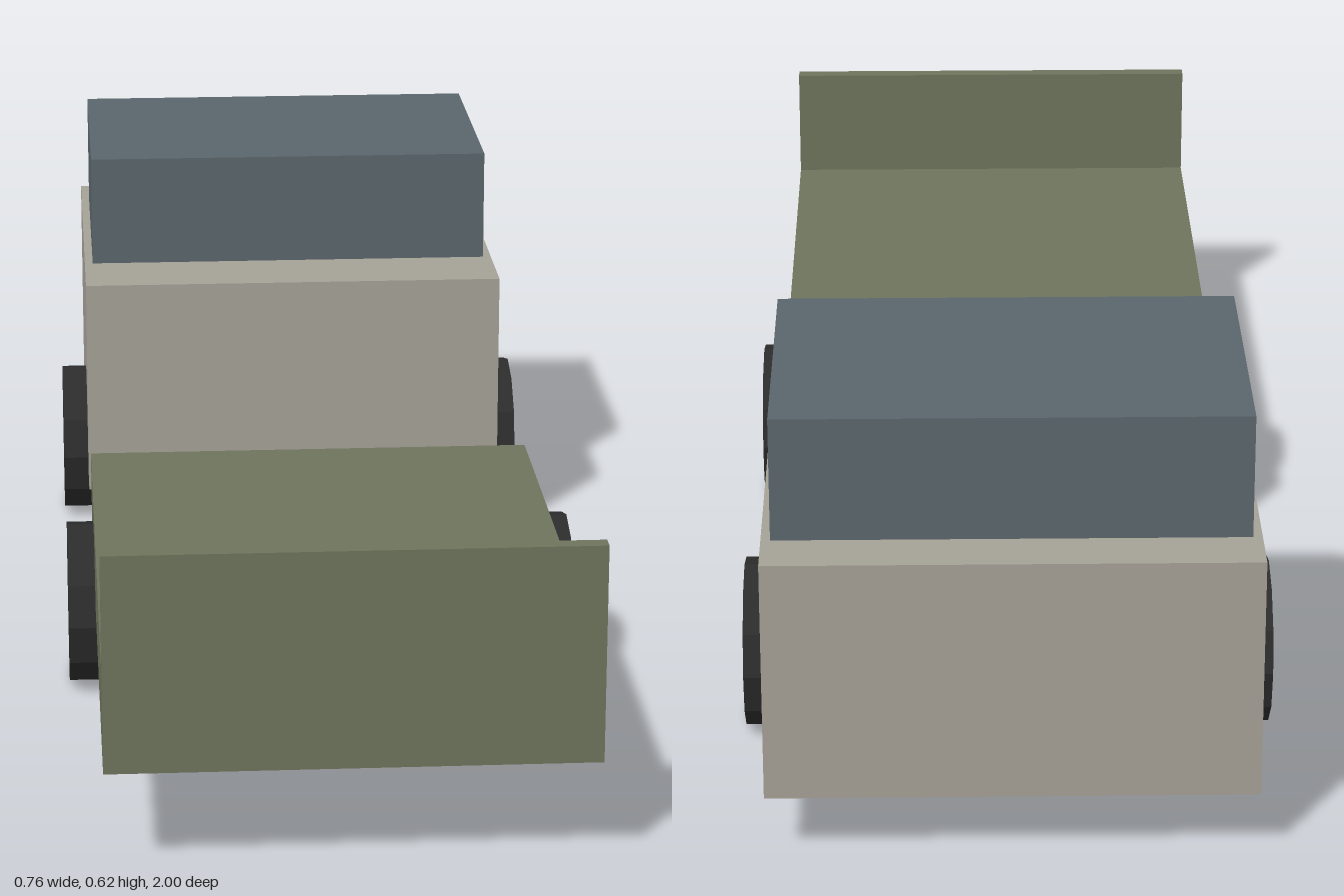
import * as THREE from 'three';

const material = (name, color) => {
  const m = new THREE.MeshStandardMaterial({ color });
  m.name = name;
  return m;
};

export function createModel() {
  const model = new THREE.Group();
  model.name = 'truck';
  const green = material('olive green', 0x6e745d);
  const beige = material('warm grey', 0xa5a197);
  const slate = material('slate blue', 0x5a666c);
  const rubber = material('tyre black', 0x2c2c2c);
  rubber.flatShading = true;

  // Box given by its half width and its y and z ranges
  const block = (name, mat, halfX, [y0, y1], [z0, z1]) => {
    const mesh = new THREE.Mesh(new THREE.BoxGeometry(halfX * 2, y1 - y0, z1 - z0), mat);
    mesh.position.set(0, (y0 + y1) / 2, (z0 + z1) / 2);
    mesh.name = name;
    model.add(mesh);
  };

  // Flat bed with its upright end board
  block('bed', green, 0.338, [0.151, 0.285], [0.03, 1]);
  block('endBoard', green, 0.338, [0.285, 0.461], [0.976, 1]);

  // Cab body and upper cabin
  block('cabBody', beige, 0.338, [0.097, 0.446], [-1, -0.352]);
  block('upperCabin', slate, 0.325, [0.446, 0.623], [-0.92, -0.488]);

  // Twelve-sided wheels, mirrored left and right
  const wheelGeometry = new THREE.CylinderGeometry(0.1215, 0.1215, 0.08, 12).rotateZ(Math.PI / 2);
  for (const [end, z] of [['bed', 0.243], ['cab', -0.567]]) {
    for (const [side, sign] of [['Left', 1], ['Right', -1]]) {
      const wheel = new THREE.Mesh(wheelGeometry, rubber);
      wheel.position.set(sign * 0.338, 0.1215, z);
      wheel.name = `${end}Wheel${side}`;
      model.add(wheel);
    }
  }
  return model;
}
